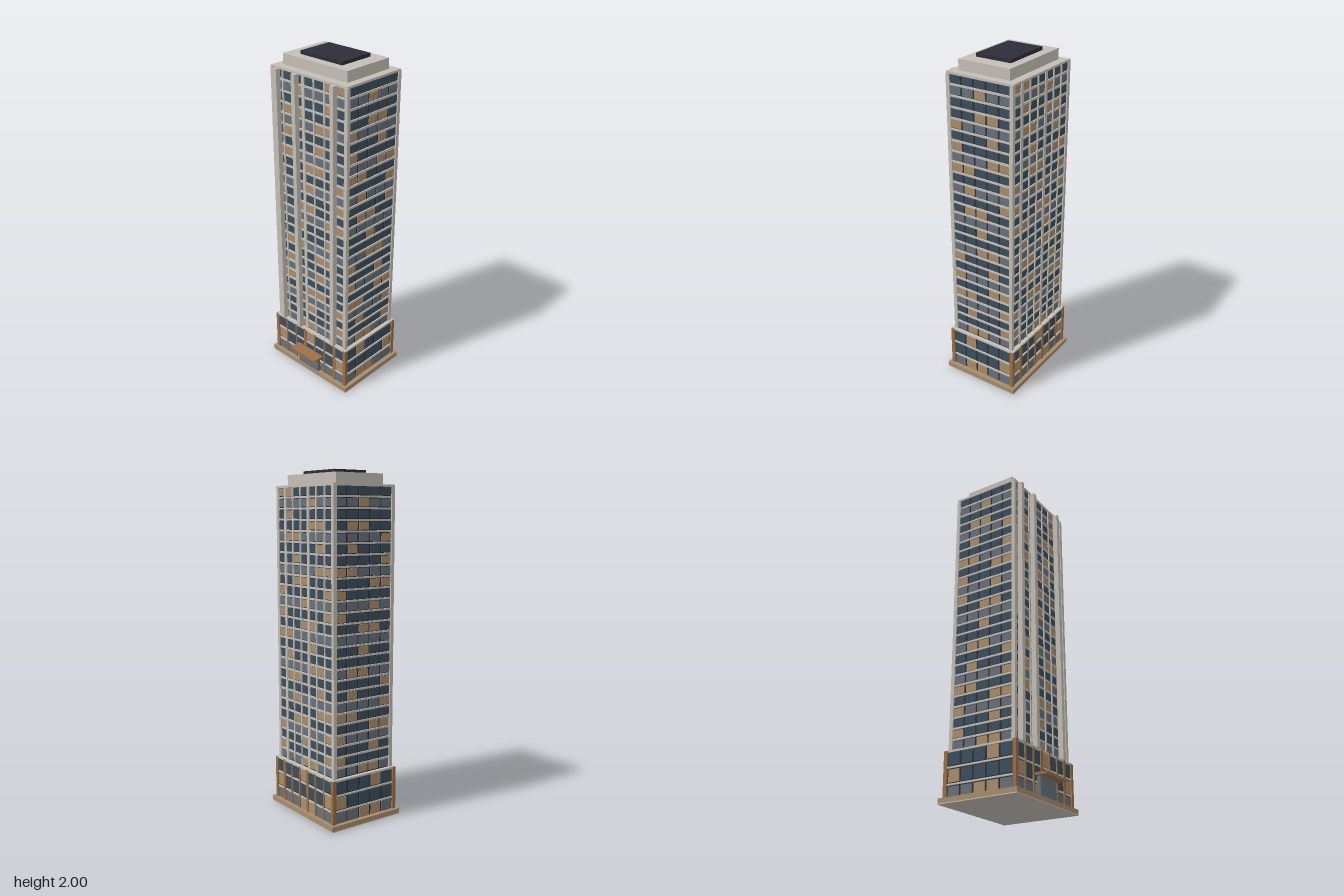
import * as THREE from 'three';
import { mergeGeometries } from 'three/addons/utils/BufferGeometryUtils.js';

const mat = (name, color) => Object.assign(new THREE.MeshStandardMaterial({ color }), { name });

const M = {
  stone: mat('pale stone', 0xc4bfb5),
  tan: mat('tan', 0xa98c6c),
  bronze: mat('bronze', 0x9c7047),
  wall: mat('dark wall', 0x2c2d37),
  blue: mat('blue glass', 0x3b4e5d),
  grey: mat('grey glass', 0x67707b),
};
const CZ = -0.025; // z of the tower axis

// Box given by its centre x, z, its bottom and top, and its width and depth
function box(x, y0, y1, z, w, d) {
  return new THREE.BoxGeometry(w, y1 - y0, d).translate(x, (y0 + y1) / 2, z);
}

function add(group, name, material, ...geometries) {
  const mesh = new THREE.Mesh(geometries.length > 1 ? mergeGeometries(geometries) : geometries[0], material);
  mesh.name = name;
  group.add(mesh);
}

// One block of storeys: dark core, glass panes, floor bands, corner posts and mullions
function storeys(name, o) {
  const group = new THREE.Group();
  group.name = name;
  const { hx, hz, y0, y1, floors, paneH, bandH, postMat, postY0 } = o;
  const pitch = (y1 - y0) / floors;
  const bayX = o.spanX / 7, bayZ = o.spanZ / 5;
  add(group, 'core', M.wall, box(0, y0, y1, CZ, hx * 2, hz * 2));

  // Panes, sorted by glass colour
  const panes = { tan: [], grey: [], blue: [] };
  for (let f = 0; f < floors; f++) {
    const a = y0 + (f + 0.5) * pitch - paneH / 2, b = a + paneH;
    const kind = (c) => [7, 9, 11].includes((25 - f + 4 * c) % 13) ? 'tan' : f % 3 === 0 ? 'grey' : 'blue';
    for (const s of [1, -1]) {
      for (let c = 0; c < 7; c++)
        panes[kind(c)].push(box((c - 3) * bayX, a, b, CZ + s * hz, bayX * 0.86, 0.008));
      for (let c = 0; c < 5; c++)
        panes[kind(c)].push(box(s * hx, a, b, CZ + (c - 2) * bayZ, 0.008, bayZ * 0.86));
    }
  }
  for (const k in panes) add(group, k + 'Windows', M[k], ...panes[k]);

  // Floor bands
  const bands = [];
  for (let f = 1; f < floors; f++) {
    const y = y0 + f * pitch;
    bands.push(box(0, y - bandH / 2, y + bandH / 2, CZ, hx * 2 + 0.014, hz * 2 + 0.014));
  }
  add(group, 'floorBands', M.stone, ...bands);

  // Corner posts, and mullions on the front and back
  const posts = [];
  for (const s of [1, -1]) {
    for (const t of [1, -1]) posts.push(box(t * hx, postY0, y1, CZ + s * hz, 0.022, 0.022));
    for (let i = 1; i < 7; i++)
      posts.push(box((i - 3.5) * bayX, postY0, y1, CZ + s * hz, i % 3 === 0 ? 0.02 : 0.009, 0.02));
  }
  add(group, 'posts', postMat, ...posts);
  return group;
}

export function createModel() {
  const g = new THREE.Group();
  g.name = 'tower block';

  // Base
  add(g, 'baseSlab', M.stone, box(0, 0, 0.005, CZ, 0.634, 0.491));
  add(g, 'plinth', M.tan, box(0, 0.005, 0.033, CZ, 0.634, 0.491));

  g.add(storeys('podium', {
    hx: 0.288, hz: 0.218, y0: 0.012, y1: 0.288, floors: 3, spanX: 0.57, spanZ: 0.412,
    paneH: 0.07, bandH: 0.01, postMat: M.bronze, postY0: 0.03,
  }));
  add(g, 'podiumLedge', M.stone, box(0, 0.279, 0.29, CZ, 0.59, 0.455));

  g.add(storeys('tower', {
    hx: 0.272, hz: 0.201, y0: 0.288, y1: 1.914, floors: 26, spanX: 0.541, spanZ: 0.395,
    paneH: 0.044, bandH: 0.011, postMat: M.stone, postY0: 0.288,
  }));

  // Tall fins on the front
  add(g, 'frontFins', M.stone,
    ...[-0.228, -0.0875, 0.193].map((x) => box(x, 0.288, 1.91, 0.193, 0.027, 0.037)));

  // Entrance and its canopy
  add(g, 'entrance', M.grey, box(0, 0.033, 0.138, 0.205, 0.166, 0.025));
  add(g, 'canopy', M.bronze, box(0, 0.138, 0.153, 0.229, 0.21, 0.076));

  // Roof
  add(g, 'roofCap', M.stone, box(0, 1.906, 1.919, CZ, 0.56, 0.422));
  add(g, 'roofHouse', M.stone, box(0, 1.919, 1.98, CZ, 0.47, 0.325));
  add(g, 'roofPlant', M.wall, box(0, 1.98, 2.0, CZ, 0.302, 0.22));
  return g;
}
